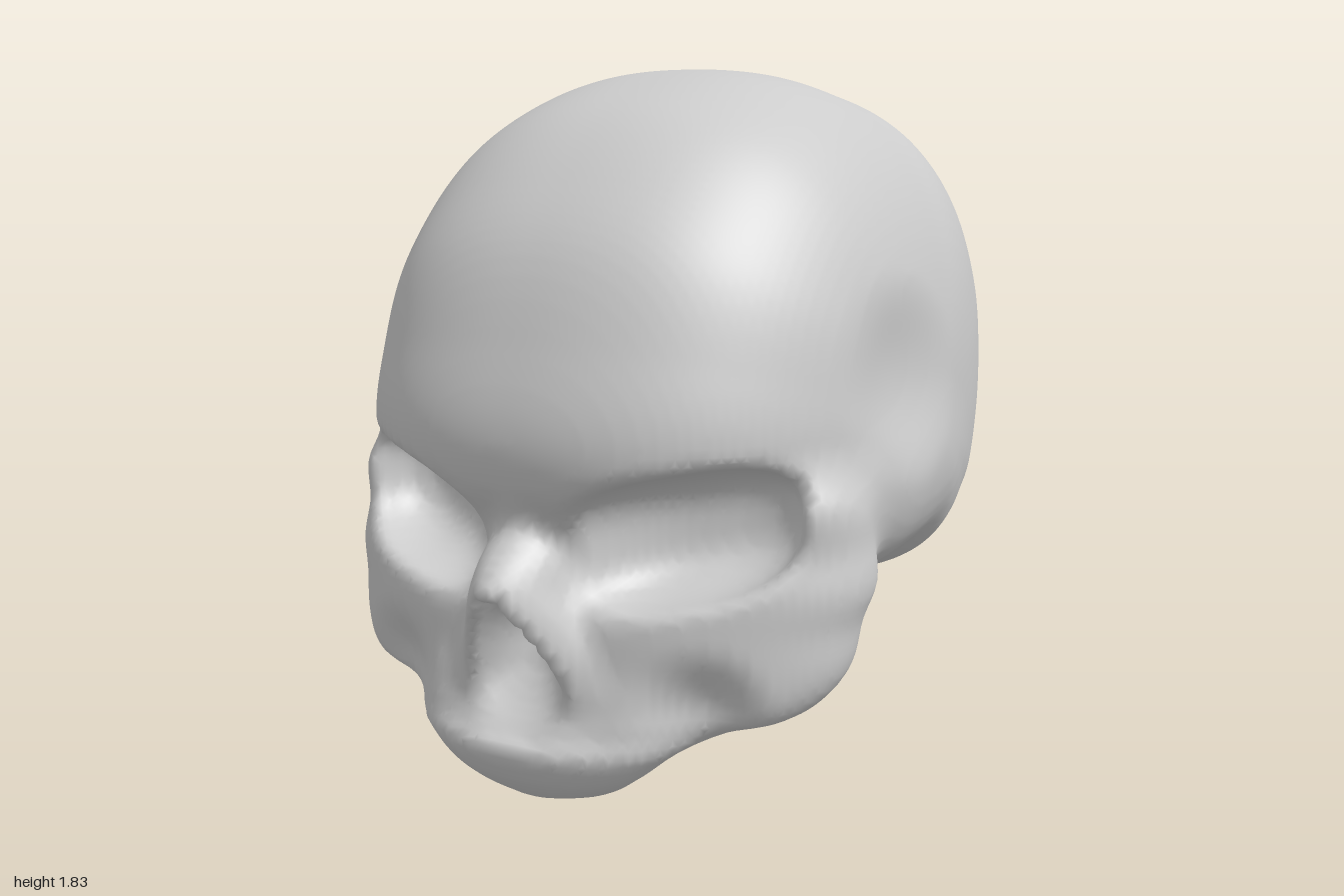
import * as THREE from 'three';

// Smooth (cubic Hermite) lookup of column c in rows sorted by their first number
function lookup(rows, t, c) {
  const n = rows.length - 1;
  if (t <= rows[0][0]) return rows[0][c];
  if (t >= rows[n][0]) return rows[n][c];
  let i = 0;
  while (rows[i + 1][0] < t) i++;
  const slope = (k) => {
    const a = rows[Math.max(k - 1, 0)], b = rows[Math.min(k + 1, n)];
    return (b[c] - a[c]) / (b[0] - a[0]);
  };
  const a = rows[i], b = rows[i + 1], h = b[0] - a[0], u = (t - a[0]) / h;
  const u2 = u * u, u3 = u2 * u;
  return a[c] * (2 * u3 - 3 * u2 + 1) + b[c] * (3 * u2 - 2 * u3)
    + h * (slope(i) * (u3 - 2 * u2 + u) + slope(i + 1) * (u3 - u2));
}

// Soft union and soft cut of signed fields (negative is inside)
const join = (a, b, k) => {
  const h = Math.max(k - Math.abs(a - b), 0) / k;
  return Math.min(a, b) - h * h * k / 4;
};
const cut = (a, b, k) => -join(-a, b, k);

const norm = (m, ...v) => Math.pow(v.reduce((s, e) => s + Math.pow(Math.abs(e), m), 0), 1 / m);
const ellipsoid = (x, y, z, c, r) =>
  (norm(2, (x - c[0]) / r[0], (y - c[1]) / r[1], (z - c[2]) / r[2]) - 1) * Math.min(...r);

// Solid with rounded horizontal sections; rows are [y, half width, front z, back z]
function sections(rows, x, y, z, m) {
  const w = lookup(rows, y, 1), f = lookup(rows, y, 2), b = lookup(rows, y, 3);
  const d = (f - b) / 2;
  const side = (norm(m, x / w, (z - (f + b) / 2) / d) - 1) * Math.min(w, d);
  return Math.max(side, rows[0][0] - y, y - rows[rows.length - 1][0]);
}

// Braincase side outline as [z, y], turned into [angle, radius] about (0, 0.9)
const outline = [
  [0.92, 0.935], [0.865, 1.16], [0.77, 1.39], [0.65, 1.54], [0.47, 1.69], [0.29, 1.77],
  [0.11, 1.815], [-0.1, 1.825], [-0.34, 1.8], [-0.59, 1.75], [-0.75, 1.66], [-0.86, 1.54],
  [-0.95, 1.38], [-0.995, 1.16], [-1, 0.97], [-0.96, 0.73], [-0.925, 0.62], [-0.865, 0.5],
  [-0.77, 0.42], [-0.68, 0.355], [-0.53, 0.31], [-0.32, 0.34], [-0.16, 0.38], [0.03, 0.41],
  [0.14, 0.385], [0.3, 0.38], [0.45, 0.42], [0.65, 0.55], [0.84, 0.72], [0.9, 0.81],
].map(([z, y]) => [Math.atan2(y - 0.9, z), Math.hypot(y - 0.9, z)]).sort((a, b) => a[0] - b[0]);
const turn = (list, a) => list.map(([t, r]) => [t + a, r]);
const polar = [
  ...turn(outline.slice(-3), -2 * Math.PI), ...outline, ...turn(outline.slice(0, 3), 2 * Math.PI),
];

// Cheekbones and upper jaw
const faceRows = [
  [0, 0.1, 0.8, 0.69], [0.03, 0.2, 0.84, 0.64], [0.08, 0.28, 0.885, 0.59],
  [0.15, 0.37, 0.915, 0.46], [0.2, 0.48, 0.88, 0.34], [0.24, 0.61, 0.86, 0.23],
  [0.29, 0.675, 0.845, 0.18], [0.36, 0.715, 0.83, 0.14], [0.46, 0.73, 0.825, 0.1],
  [0.55, 0.755, 0.81, 0.07], [0.64, 0.745, 0.79, 0.07], [0.8, 0.715, 0.8, 0.08], [0.98, 0.5, 0.68, 0.1],
];
// Nose bridge and the bone around the nasal opening
const noseRows = [
  [0.2, 0.23, 0.82, 0.6], [0.26, 0.25, 0.87, 0.6], [0.35, 0.22, 0.925, 0.6],
  [0.48, 0.16, 0.985, 0.6], [0.56, 0.125, 1.0, 0.6], [0.62, 0.115, 0.965, 0.6],
  [0.7, 0.105, 0.88, 0.6], [0.78, 0.1, 0.86, 0.6],
];
// Nasal opening
const holeRows = [
  [0.18, 0.22, 1.3, 0.88], [0.26, 0.205, 1.3, 0.8], [0.35, 0.145, 1.3, 0.75],
  [0.46, 0.08, 1.3, 0.75], [0.545, 0.03, 1.3, 0.9],
];

// Signed field of the whole skull; sx folds the two halves together
function skullField(sx, y, z) {
  const x = Math.abs(sx);
  // braincase with a swelling above the ear
  const radius = lookup(polar, Math.atan2(y - 0.9, z), 1);
  let f = (norm(2.4, x / 0.75, Math.hypot(y - 0.9, z) / radius) - 1) * 0.75;
  f = join(f, ellipsoid(x, y, z, [0.56, 0.78, 0.04], [0.19, 0.26, 0.34]), 0.08);
  // shallow temples
  f = cut(f, ellipsoid(x, y, z, [0.97, 1.06, 0.22], [0.27, 0.29, 0.34]), 0.1);
  // face, hollow palate and dip below the cheekbone
  f = join(f, sections(faceRows, x, y, z, 2.1), 0.06);
  f = cut(f, ellipsoid(x, y, z, [0, 0.19, 0.3], [0.43, 0.14, 0.23]), 0.1);
  f = cut(f, ellipsoid(x, y, z, [0.47, 0.27, 0.86], [0.11, 0.1, 0.15]), 0.1);
  // eye sockets, leaning outward and open to the front
  const ez = Math.min(z - 0.85 + 0.5 * (x - 0.4), 0);
  const ey = y - 0.69 - 0.2 * (x - 0.4);
  f = cut(f, (norm(2.8, (x - 0.385) / 0.262, ey / 0.167, ez / 0.33) - 1) * 0.17, 0.035);
  // nose
  f = join(f, sections(noseRows, x, y, z, 1.7), 0.04);
  return cut(f, sections(holeRows, x, y, z, 2), 0.025);
}

// Skin a signed field with quads: one vertex per grid cell the surface crosses
function skin(field, low, count, h) {
  const step = [1, count[0], count[0] * count[1]];
  const values = new Float32Array(step[2] * count[2]);
  const place = (id) => [id % step[1], Math.floor(id / step[1]) % count[1], Math.floor(id / step[2])];
  for (let id = 0; id < values.length; id++) {
    values[id] = field(...place(id).map((n, a) => low[a] + n * h));
  }
  const points = [], index = [], known = new Map();
  const vertex = (id) => {
    if (known.has(id)) return known.get(id);
    // mean of the crossings on the twelve cell edges
    const sum = [0, 0, 0], cell = place(id);
    let hits = 0;
    for (let corner = 0; corner < 8; corner++) {
      const bits = [corner & 1, (corner >> 1) & 1, corner >> 2];
      const from = id + bits[0] * step[0] + bits[1] * step[1] + bits[2] * step[2];
      for (let a = 0; a < 3; a++) {
        const v0 = values[from], v1 = values[from + step[a]];
        if (bits[a] || (v0 < 0) === (v1 < 0)) continue;
        bits.forEach((b, c) => { sum[c] += b + (c === a ? v0 / (v0 - v1) : 0); });
        hits++;
      }
    }
    const p = sum.map((s, a) => low[a] + (cell[a] + s / hits) * h);
    // settle onto the surface along the gradient
    const v = field(...p), e = 0.002;
    const g = p.map((_, a) => (field(...p.map((q, c) => q + (c === a ? e : 0))) - v) / e);
    const move = v / Math.max(g[0] ** 2 + g[1] ** 2 + g[2] ** 2, 0.1);
    points.push(...p.map((q, a) => q - THREE.MathUtils.clamp(move * g[a], -h / 2, h / 2)));
    known.set(id, points.length / 3 - 1);
    return points.length / 3 - 1;
  };
  for (let id = 0; id < values.length; id++) {
    const at = place(id);
    if (at.some((n, a) => n < 1 || n > count[a] - 2)) continue;
    for (let a = 0; a < 3; a++) {
      const inside = values[id] < 0;
      if (inside === (values[id + step[a]] < 0)) continue;
      const b = step[(a + 1) % 3], c = step[(a + 2) % 3];
      const quad = [id - b - c, id - c, id, id - b].map(vertex);
      if (!inside) quad.reverse();
      index.push(quad[0], quad[1], quad[2], quad[0], quad[2], quad[3]);
    }
  }
  const geometry = new THREE.BufferGeometry();
  geometry.setAttribute('position', new THREE.Float32BufferAttribute(points, 3));
  geometry.setIndex(index);
  geometry.computeVertexNormals();
  return geometry;
}

export function createModel() {
  const group = new THREE.Group();
  group.name = 'skullModel';
  const geometry = skin(skullField, [-0.836, -0.051, -1.06], [77, 90, 97], 0.022);
  const skull = new THREE.Mesh(geometry, new THREE.MeshStandardMaterial({ color: 0xcccccc }));
  skull.name = 'skull';
  group.add(skull);
  return group;
}
